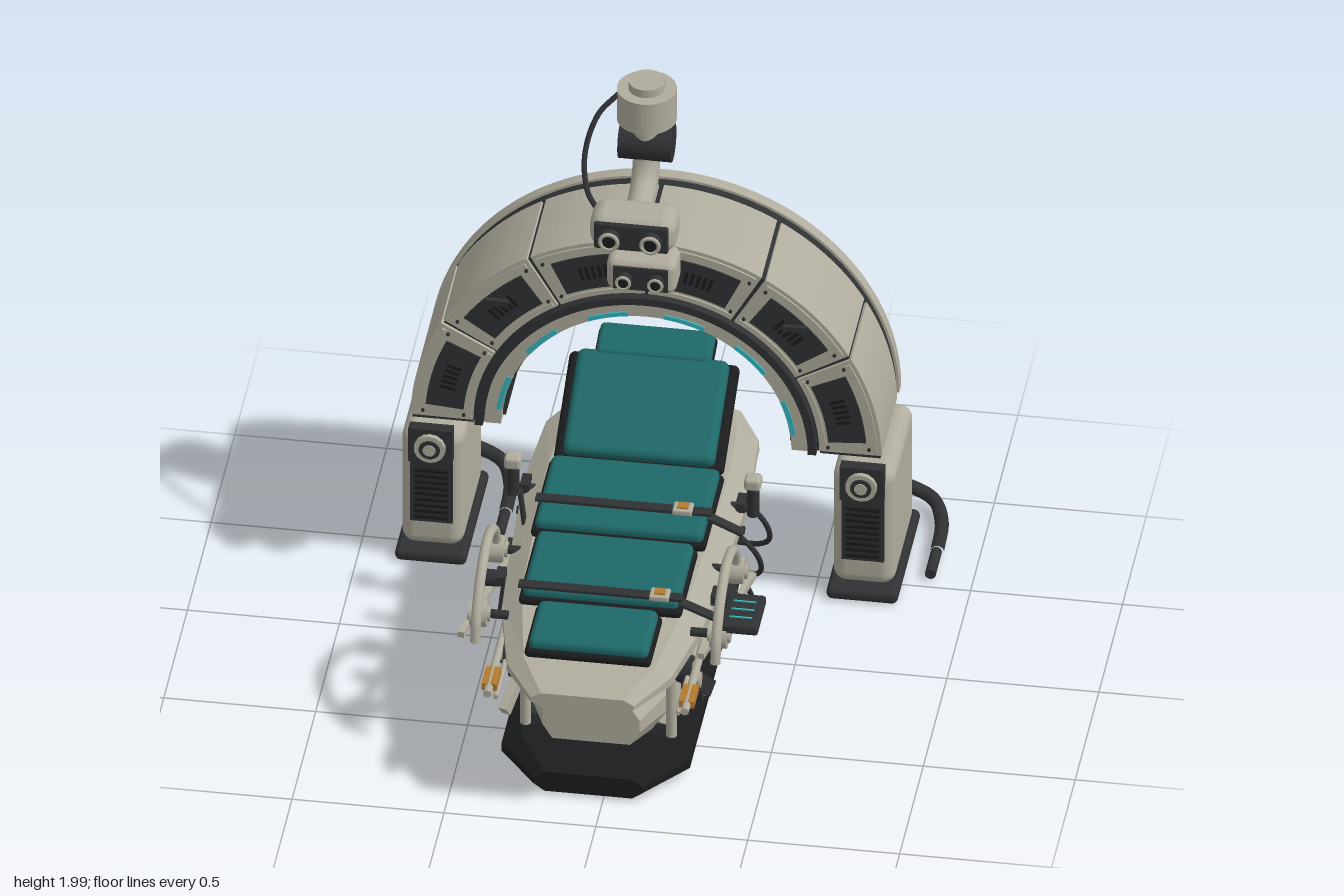
import * as THREE from 'three';
import { RoundedBoxGeometry } from 'three/addons/geometries/RoundedBoxGeometry.js';

const mat = (name, color, side = THREE.FrontSide) =>
  Object.assign(new THREE.MeshStandardMaterial({ color, side }), { name });
const V = (p) => new THREE.Vector3(...p);
const RAD = Math.PI / 180;

export function createModel() {
  const root = new THREE.Group();
  root.name = 'medicalScanner';
  root.position.x = -0.05;
  const shell = mat('warm grey shell', 0xb0ac9d);
  const dark = mat('dark trim', 0x303133);
  const black = mat('black rubber', 0x1b1c1d);
  const teal = mat('teal upholstery', 0x1f6868);
  const cyan = mat('cyan light', 0x35b5bd);
  const orange = mat('orange grip', 0xb37a30);

  // --- helpers ---
  let parent = root;
  const part = (name) => {
    parent = new THREE.Group();
    parent.name = name;
    root.add(parent);
    return parent;
  };
  const add = (name, geo, m, p = [0, 0, 0], r = [0, 0, 0]) => {
    const mesh = new THREE.Mesh(geo, m);
    mesh.name = name;
    mesh.position.set(...p);
    mesh.rotation.set(...r);
    parent.add(mesh);
    return mesh;
  };
  const box = (name, m, s, p, r) => add(name, new THREE.BoxGeometry(...s), m, p, r);
  const soft = (name, m, s, p, rad, r) => add(name, new RoundedBoxGeometry(...s, 4, rad), m, p, r);
  const cyl = (name, m, rad, len, p, axis = 'y', seg = 28) =>
    add(name, new THREE.CylinderGeometry(rad, rad, len, seg), m, p,
      axis === 'x' ? [0, 0, Math.PI / 2] : axis === 'z' ? [Math.PI / 2, 0, 0] : [0, 0, 0]);
  const tube = (name, m, pts, rad) =>
    add(name, new THREE.TubeGeometry(new THREE.CatmullRomCurve3(pts.map(V)), 32, rad, 10), m);
  const beam = (name, m, a, b, w, h) => {
    const A = V(a), B = V(b);
    const mesh = box(name, m, [w, h, A.distanceTo(B)], A.clone().add(B).multiplyScalar(0.5).toArray());
    mesh.lookAt(B);
    return mesh;
  };
  // Ring sector around the arch axis, angles in degrees
  const sector = (name, m, r0, r1, a0, a1, z0, z1) => {
    const s = new THREE.Shape();
    s.absarc(0, 0, r1, a0 * RAD, a1 * RAD, false);
    s.absarc(0, 0, r0, a1 * RAD, a0 * RAD, true);
    const curveSegments = Math.max(6, Math.round((a1 - a0) / 3));
    const g = new THREE.ExtrudeGeometry(s, { depth: z1 - z0, bevelEnabled: false, curveSegments });
    return add(name, g, m, [0, 0.59, z0]);
  };
  // Faceted hull through octagonal sections [z, halfWidth, bottom, top], front to back
  const hull = (name, m, sections) => {
    const rings = sections.map(([z, w, y0, y1]) => {
      const h = y1 - y0, a = y0 + h * 0.35, b = y0 + h * 0.65, n = w * 0.8;
      return [[w, a], [w, b], [n, y1], [-n, y1], [-w, b], [-w, a], [-n, y0], [n, y0]].map(([x, y]) => [x, y, z]);
    });
    const pos = [], tri = (...p) => p.forEach((q) => pos.push(...q));
    for (let i = 0; i + 1 < rings.length; i++) for (let j = 0; j < 8; j++) {
      const f = rings[i], b = rings[i + 1], k = (j + 1) % 8;
      tri(f[j], b[j], b[k]);
      tri(f[j], b[k], f[k]);
    }
    const f = rings[0], b = rings[rings.length - 1];
    for (let j = 1; j < 7; j++) { tri(f[0], f[j], f[j + 1]); tri(b[0], b[j + 1], b[j]); }
    const g = new THREE.BufferGeometry();
    g.setAttribute('position', new THREE.Float32BufferAttribute(pos, 3));
    g.computeVertexNormals();
    return add(name, g, m);
  };
  const lens = (x, y, z, r) => {
    cyl('lensBarrel', dark, r, 0.04, [x, y, z], 'z');
    add('lensRing', new THREE.TorusGeometry(r * 0.85, r * 0.2, 8, 24), shell, [x, y, z + 0.02]);
    cyl('lensGlass', black, r * 0.6, 0.006, [x, y, z + 0.022], 'z');
  };

  // --- scanner arch ---
  part('scannerArch');
  sector('archCore', dark, 0.53, 0.766, 0, 180, -0.757, -0.395);
  sector('archBackPlate', shell, 0.48, 0.775, 0, 180, -0.8, -0.757);
  sector('innerRing', shell, 0.478, 0.532, 0, 180, -0.757, -0.385);
  sector('frontTrimRing', dark, 0.535, 0.562, 0, 180, -0.395, -0.365);
  for (let i = 0; i < 6; i++) {
    const a = i * 30 + 15;
    sector('archPanel', shell, 0.57, 0.775, a - 14.4, a + 14.4, -0.712, -0.383);
    sector('panelRim', shell, 0.575, 0.592, a - 13.4, a + 13.4, -0.383, -0.376);
    sector('panelRim', shell, 0.745, 0.762, a - 13.4, a + 13.4, -0.383, -0.376);
    sector('panelInset', dark, 0.602, 0.727, a - 10.5, a + 10.5, -0.383, -0.378);
    for (let k = -2; k <= 2; k++)
      sector('panelVent', black, 0.64, 0.69, a + k * 1.8 - 0.5, a + k * 1.8 + 0.5, -0.378, -0.374);
    sector('lightStrip', cyan, 0.481, 0.496, a - 8, a + 8, -0.385, -0.379);
    sector('innerLightStrip', cyan, 0.475, 0.479, a - 8, a + 8, -0.41, -0.39);
    sector('innerLining', dark, 0.468, 0.479, a - 14, a + 14, -0.735, -0.425);
    for (const da of [-12.6, 12.6]) for (const r of [0.6, 0.735])
      cyl('panelBolt', dark, 0.006, 0.008,
        [r * Math.cos((a + da) * RAD), 0.59 + r * Math.sin((a + da) * RAD), -0.38], 'z', 8);
  }
  for (const s of [-1, 1]) {
    box('archFoot', dark, [0.2, 0.012, 0.31], [s * 0.67, 0.586, -0.55]);
    box('sensorClip', dark, [0.075, 0.018, 0.02], [s * 0.49, 1.085, -0.37]);
  }

  // --- camera on the arch ---
  part('archCamera');
  soft('cameraBody', shell, [0.23, 0.125, 0.13], [0, 1.3, -0.335], 0.03);
  box('cameraFace', dark, [0.18, 0.085, 0.012], [0, 1.3, -0.268]);
  for (const s of [-1, 1]) lens(s * 0.053, 1.3, -0.255, 0.026);
  box('topSensor', dark, [0.17, 0.038, 0.022], [0, 1.392, -0.46]);
  box('topSensorFoot', dark, [0.05, 0.03, 0.015], [0, 1.365, -0.46]);

  // --- ceiling camera ---
  part('ceilingCamera');
  cyl('mountCap', shell, 0.06, 0.03, [0, 1.985, -0.4]);
  cyl('mountDrum', shell, 0.098, 0.12, [0, 1.91, -0.4]);
  cyl('mountNeck', shell, 0.055, 0.08, [0, 1.82, -0.4]);
  cyl('swivelJoint', dark, 0.065, 0.175, [0, 1.76, -0.4], 'x');
  tube('elbowArm', shell, [[0, 1.74, -0.4], [0, 1.69, -0.395], [0, 1.63, -0.355], [0, 1.605, -0.29], [0, 1.6, -0.19]], 0.045);
  soft('headBody', shell, [0.285, 0.135, 0.15], [0, 1.6, -0.145], 0.05);
  soft('headFace', dark, [0.245, 0.1, 0.02], [0, 1.605, -0.068], 0.008);
  for (const s of [-1, 1]) lens(s * 0.068, 1.605, -0.05, 0.034);
  tube('headCable', dark, [[-0.09, 1.95, -0.38], [-0.15, 1.89, -0.34], [-0.185, 1.77, -0.28], [-0.165, 1.67, -0.21], [-0.12, 1.62, -0.17]], 0.009);

  // --- pedestals ---
  for (const s of [-1, 1]) {
    part(s > 0 ? 'leftPedestal' : 'rightPedestal').position.x = s * 0.71;
    soft('pedestalBase', dark, [0.235, 0.045, 0.5], [0, 0.033, -0.625], 0.02);
    soft('pedestalBody', shell, [0.205, 0.455, 0.425], [0, 0.282, -0.622], 0.045);
    box('gaugeBlock', dark, [0.145, 0.13, 0.04], [0, 0.478, -0.398]);
    cyl('gaugeDial', shell, 0.052, 0.02, [0, 0.476, -0.372], 'z', 14);
    cyl('gaugeFace', dark, 0.035, 0.006, [0, 0.476, -0.361], 'z');
    cyl('gaugeHub', shell, 0.021, 0.006, [0, 0.476, -0.357], 'z');
    box('ventPanel', dark, [0.14, 0.25, 0.014], [0, 0.287, -0.408]);
    for (let i = 0; i < 9; i++) box('ventSlat', black, [0.11, 0.011, 0.014], [0, 0.185 + i * 0.023, -0.398]);
    tube('powerCable', dark, [[-0.02, 0.15, -0.82], [0.01, 0.13, -0.9], [0.08, 0.08, -0.95], [0.15, 0.055, -0.93], [0.195, 0.045, -0.82], [0.205, 0.04, -0.66]], 0.023);
    cyl('cablePlug', dark, 0.018, 0.13, [0.202, 0.036, -0.6], 'z');
  }

  // --- bed base and lift ---
  part('bedBase');
  hull('basePlate', black, [[0.84, 0.18, 0.02, 0.095], [0.68, 0.31, 0.01, 0.12], [-0.36, 0.31, 0.01, 0.125], [-0.53, 0.19, 0.02, 0.12]]);
  box('plinth', dark, [0.46, 0.06, 0.95], [0, 0.135, 0.14]);
  hull('liftColumn', shell, [[0.78, 0.16, 0.19, 0.34], [0.6, 0.225, 0.14, 0.357], [-0.36, 0.225, 0.14, 0.357], [-0.49, 0.17, 0.17, 0.34]]);
  box('underFrame', shell, [0.42, 0.05, 0.95], [0, 0.42, 0.1]);
  for (const s of [-1, 1]) {
    const x = s * 0.265;
    for (const [z, d] of [[0.48, 1], [-0.21, -1]]) {
      beam('scissorArm', shell, [x, 0.15, z + d * 0.13], [x, 0.39, z - d * 0.17], 0.03, 0.05);
      beam('scissorLink', dark, [x + s * 0.015, 0.4, z + d * 0.14], [x + s * 0.015, 0.16, z - d * 0.1], 0.03, 0.055);
      for (const [dz, y] of [[0.02, 0.275], [-0.1, 0.16], [0.14, 0.4]]) {
        cyl('pivot', dark, 0.045, 0.05, [x + s * 0.02, y, z + d * dz], 'x');
        cyl('pivotCap', shell, 0.026, 0.012, [x + s * 0.048, y, z + d * dz], 'x');
      }
    }
    for (const z of [0.62, -0.38]) cyl('liftPost', shell, 0.018, 0.27, [s * 0.24, 0.265, z]);
    for (const [z, y] of [[0.42, 0.27], [0.17, 0.27], [-0.03, 0.27], [0.24, 0.145]])
      box('serviceHatch', dark, [0.012, 0.032, 0.075], [s * 0.228, y, z]);
  }

  // --- bed deck ---
  part('bedDeck');
  hull('deck', shell, [[0.97, 0.17, 0.445, 0.5], [0.82, 0.27, 0.435, 0.535], [0.5, 0.34, 0.43, 0.572], [-0.2, 0.37, 0.43, 0.575], [-0.52, 0.35, 0.44, 0.562], [-0.66, 0.27, 0.485, 0.55]]);
  for (const s of [-1, 1]) {
    cyl('sideRail', shell, 0.014, 1.5, [s * 0.325, 0.42, 0.14], 'z', 12);
    cyl('lowerRail', shell, 0.009, 1.26, [s * 0.3, 0.397, 0.24], 'z', 10);
    box('railGrip', orange, [0.05, 0.026, 0.1], [s * 0.325, 0.42, 0.8]);
    for (const z of [0.41, -0.12]) box('deckLatch', dark, [0.03, 0.035, 0.065], [s * 0.355, 0.55, z]);
    for (const z of [0.12, -0.06, -0.25]) cyl('cableSocket', dark, 0.014, 0.02, [s * 0.365, 0.485, z], 'x', 12);
    // grab handles
    const x = s * 0.395;
    tube('grabHandle', shell, [[x, 0.48, 0.69], [x, 0.56, 0.67], [x, 0.66, 0.58], [x, 0.71, 0.45], [x, 0.68, 0.33], [x, 0.61, 0.26], [x, 0.53, 0.235]], 0.017);
    for (const z of [0.6, 0.235]) {
      cyl('handleBoss', shell, 0.046, 0.055, [x, 0.535, z], 'x');
      cyl('bossCap', shell, 0.026, 0.075, [x, 0.535, z], 'x');
      cyl('bossAxle', dark, 0.015, 0.09, [s * 0.345, 0.535, z], 'x', 12);
    }
    beam('handleRail', shell, [x, 0.5, 0.69], [x, 0.5, 0.2], 0.022, 0.022);
    cyl('lockKnob', dark, 0.028, 0.05, [x, 0.535, 0.4], 'x');
    // side posts
    soft('postBlock', shell, [0.055, 0.045, 0.055], [x, 0.645, -0.11], 0.012);
    cyl('post', dark, 0.02, 0.15, [x, 0.59, -0.11]);
    cyl('postBracket', dark, 0.016, 0.08, [s * 0.36, 0.54, -0.11], 'x', 12);
  }
  for (const z of [0.13, -0.06, -0.24])
    tube('bedCable', dark, [[0.35, 0.47, z], [0.41, 0.41, z + 0.01], [0.425, 0.32, z - 0.03], [0.38, 0.23, z - 0.11], [0.26, 0.18, z - 0.18]], 0.009);

  // --- control tablet ---
  part('controlTablet');
  soft('tabletBody', dark, [0.125, 0.035, 0.19], [0.462, 0.576, 0.535], 0.01);
  for (let i = 0; i < 3; i++) box('tabletLight', cyan, [0.075, 0.004, 0.006], [0.462, 0.595, 0.49 + i * 0.045]);

  // --- upholstery ---
  part('upholstery');
  const pads = [[0.73, 0.25, 0.2, 0.598], [0.415, 0.35, 0.26, 0.615], [0.01, 0.395, 0.28, 0.615]];
  for (const [z, len, w, y] of pads) {
    soft('padTray', black, [w * 2 + 0.016, 0.035, len + 0.012], [0, y - 0.025, z], 0.015);
    soft('pad', teal, [w * 2 - 0.006, 0.05, len - 0.01], [0, y, z], 0.022);
  }
  const tilt = 27 * RAD;
  soft('backrestTray', black, [0.56, 0.045, 0.4], [0, 0.672, -0.4], 0.02, [tilt, 0, 0]);
  soft('backrestPad', teal, [0.5, 0.06, 0.385], [0, 0.7, -0.39], 0.026, [tilt, 0, 0]);
  soft('headrestTray', black, [0.39, 0.03, 0.12], [0, 0.795, -0.595], 0.012, [tilt * 0.6, 0, 0]);
  soft('headrest', teal, [0.38, 0.04, 0.13], [0, 0.812, -0.595], 0.018, [tilt * 0.6, 0, 0]);
  for (const s of [-1, 1]) beam('backrestStrut', dark, [s * 0.15, 0.55, -0.5], [s * 0.15, 0.72, -0.5], 0.03, 0.03);

  // --- straps ---
  part('straps');
  for (const [z, w] of [[0.085, 0.29], [0.575, 0.27]]) {
    box('strap', dark, [w * 2, 0.01, 0.038], [0, 0.647, z]);
    for (const s of [-1, 1]) beam('strapSide', dark, [s * w, 0.648, z], [s * 0.38, 0.56, z], 0.038, 0.01);
    soft('buckle', shell, [0.065, 0.022, 0.055], [0.195, 0.652, z], 0.006);
    box('buckleButton', orange, [0.036, 0.008, 0.032], [0.195, 0.664, z]);
  }
  return root;
}
